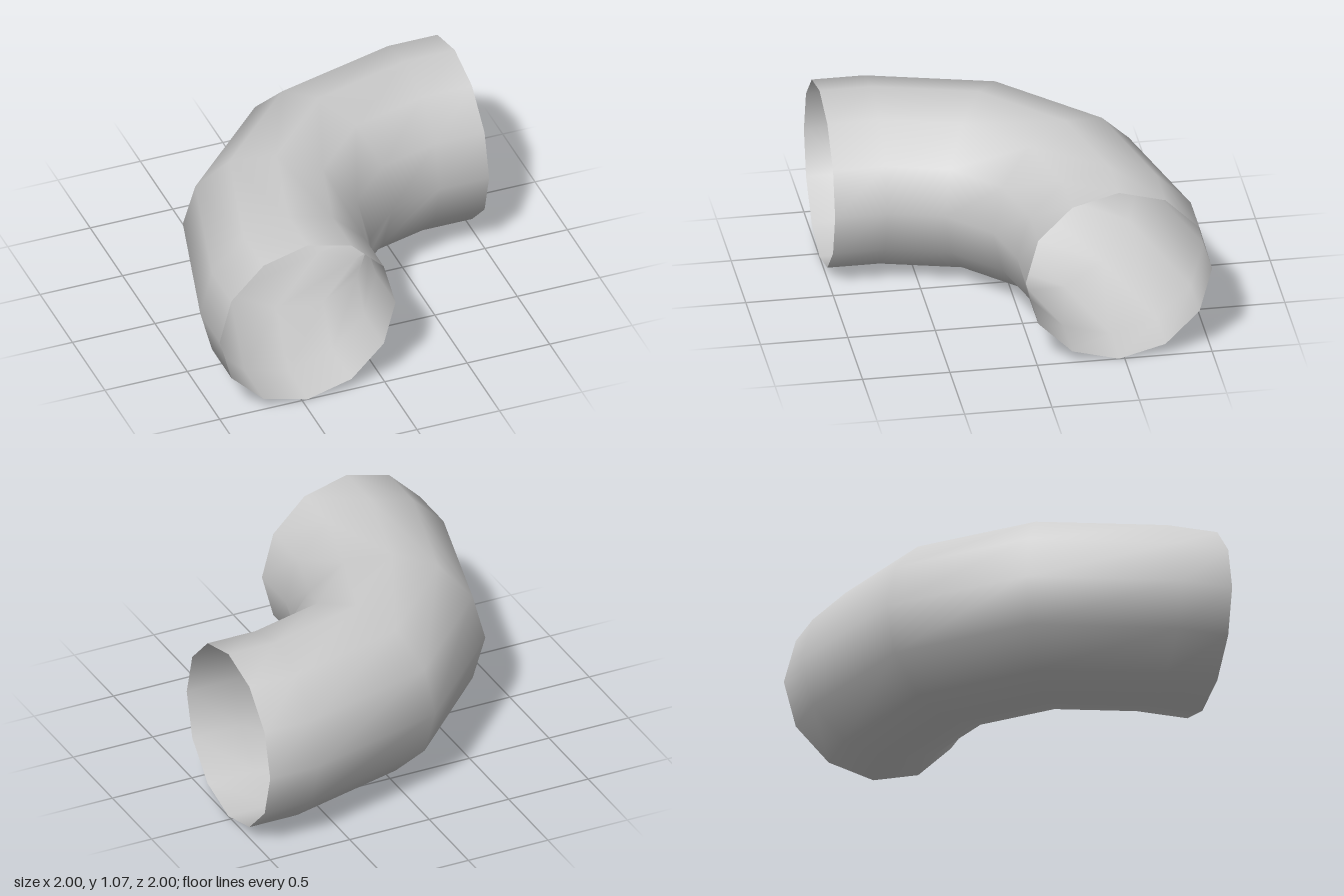
import * as THREE from 'three';

const SIDES = 12;
const PIPE_RADIUS = 0.533;
const BEND_RADIUS = 1.167;
const BEND_CENTRE = 0.7; // x and z of the bend's pivot
const STRAIGHT = 0.3; // length of the straight end sections

// Open tube: one ring at each mouth, four through the quarter bend
function elbowGeometry() {
  const rings = [
    { angle: 0, dx: 0, dz: STRAIGHT },
    ...[0, 30, 60, 90].map((angle) => ({ angle, dx: 0, dz: 0 })),
    { angle: 90, dx: STRAIGHT, dz: 0 },
  ];
  const positions = [];
  const index = [];

  rings.forEach(({ angle, dx, dz }, ring) => {
    const a = THREE.MathUtils.degToRad(angle);
    for (let i = 0; i < SIDES; i++) {
      const t = (i / SIDES) * Math.PI * 2;
      const reach = BEND_RADIUS + PIPE_RADIUS * Math.cos(t);
      positions.push(
        BEND_CENTRE - reach * Math.cos(a) + dx,
        PIPE_RADIUS * (1 + Math.sin(t)),
        BEND_CENTRE - reach * Math.sin(a) + dz,
      );
      if (ring === 0) continue;
      // Join this ring to the previous one, facing outward
      const next = (i + 1) % SIDES;
      const p = (ring - 1) * SIDES;
      const q = ring * SIDES;
      index.push(p + i, p + next, q + i, p + next, q + next, q + i);
    }
  });

  const geometry = new THREE.BufferGeometry();
  geometry.setAttribute('position', new THREE.Float32BufferAttribute(positions, 3));
  geometry.setIndex(index);
  geometry.computeVertexNormals();
  return geometry;
}

export function createModel() {
  const material = new THREE.MeshStandardMaterial({ color: 0xcccccc, side: THREE.DoubleSide });
  material.name = 'light grey';

  const pipe = new THREE.Mesh(elbowGeometry(), material);
  pipe.name = 'elbowPipe';

  const model = new THREE.Group();
  model.name = 'pipeElbow';
  model.add(pipe);
  return model;
}
